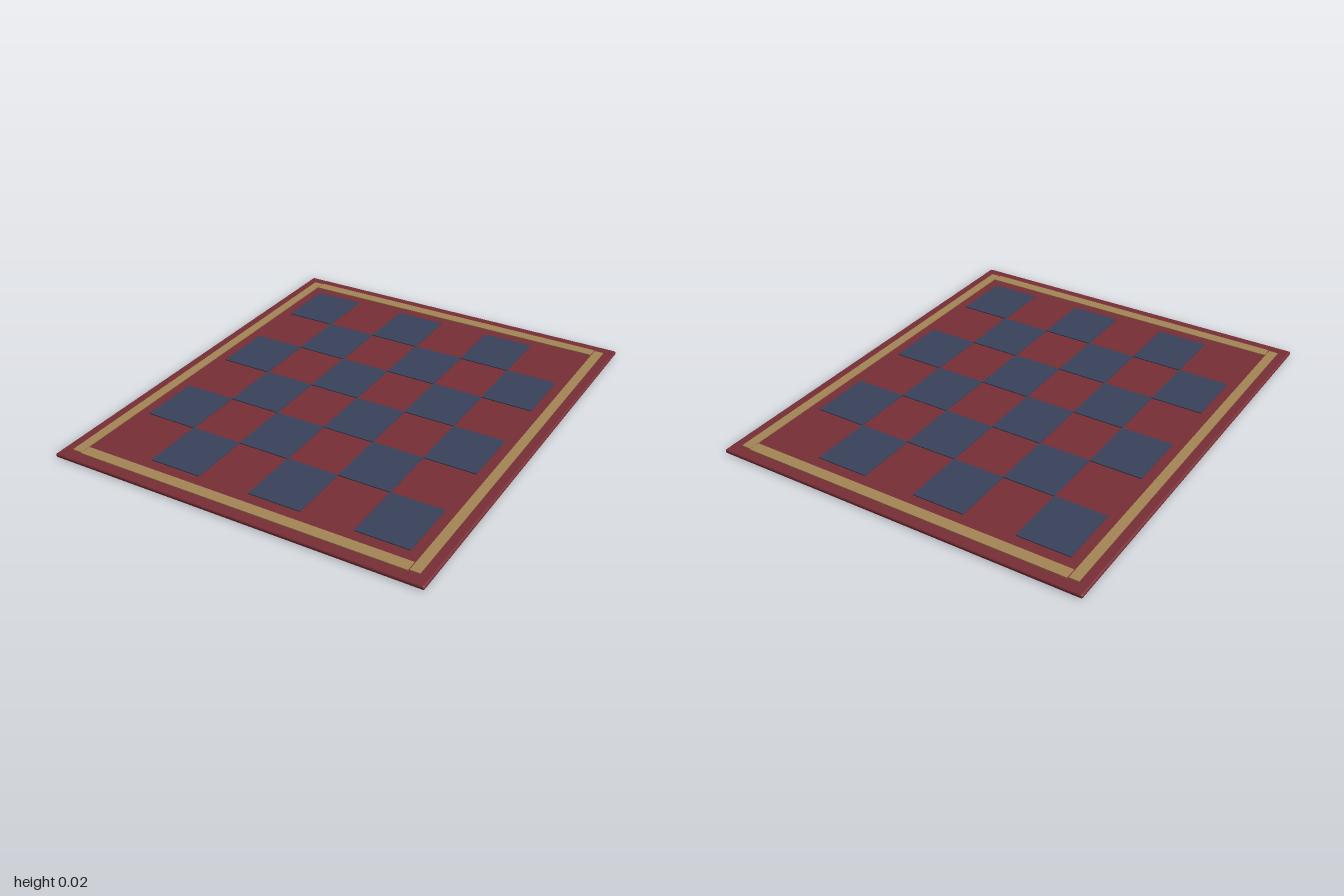
import * as THREE from 'three';
import { RoundedBoxGeometry } from 'three/addons/geometries/RoundedBoxGeometry.js';

const flatColor = (name, color) => {
  const material = new THREE.MeshStandardMaterial({ color });
  material.name = name;
  return material;
};

export function createModel() {
  const rug = new THREE.Group();
  rug.name = 'rug';

  const red = flatColor('rug red', 0x782e36);
  const navy = flatColor('check navy', 0x38425a);
  const gold = flatColor('border gold', 0xa48656);

  const thickness = 0.018;
  const raise = 0.004;

  // Woven body with softly rounded edges
  const body = new THREE.Mesh(new RoundedBoxGeometry(1.69, thickness, 2, 3, 0.008), red);
  body.name = 'body';
  body.position.y = thickness / 2;
  rug.add(body);

  // Thin plate sunk slightly into the top of the body
  const addPlate = (parent, name, material, width, depth, x, z) => {
    const sunk = 0.002;
    const plate = new THREE.Mesh(new THREE.BoxGeometry(width, raise + sunk, depth), material);
    plate.name = name;
    plate.position.set(x, thickness + (raise - sunk) / 2, z);
    parent.add(plate);
  };

  // Border strips
  const border = new THREE.Group();
  border.name = 'border';
  for (const side of [-1, 1]) {
    addPlate(border, 'endStrip', gold, 1.506, 0.052, 0, side * 0.923);
    addPlate(border, 'sideStrip', gold, 0.042, 1.888, side * 0.779, 0);
  }
  rug.add(border);

  // Checkerboard squares on alternating cells
  const checks = new THREE.Group();
  checks.name = 'checks';
  const cells = 6;
  const cellX = 0.2365;
  const cellZ = 0.281;
  for (let row = 0; row < cells; row++) {
    for (let col = row % 2; col < cells; col += 2) {
      const x = (col - (cells - 1) / 2) * cellX;
      const z = (row - (cells - 1) / 2) * cellZ;
      addPlate(checks, 'check', navy, cellX, cellZ, x, z);
    }
  }
  rug.add(checks);

  return rug;
}
